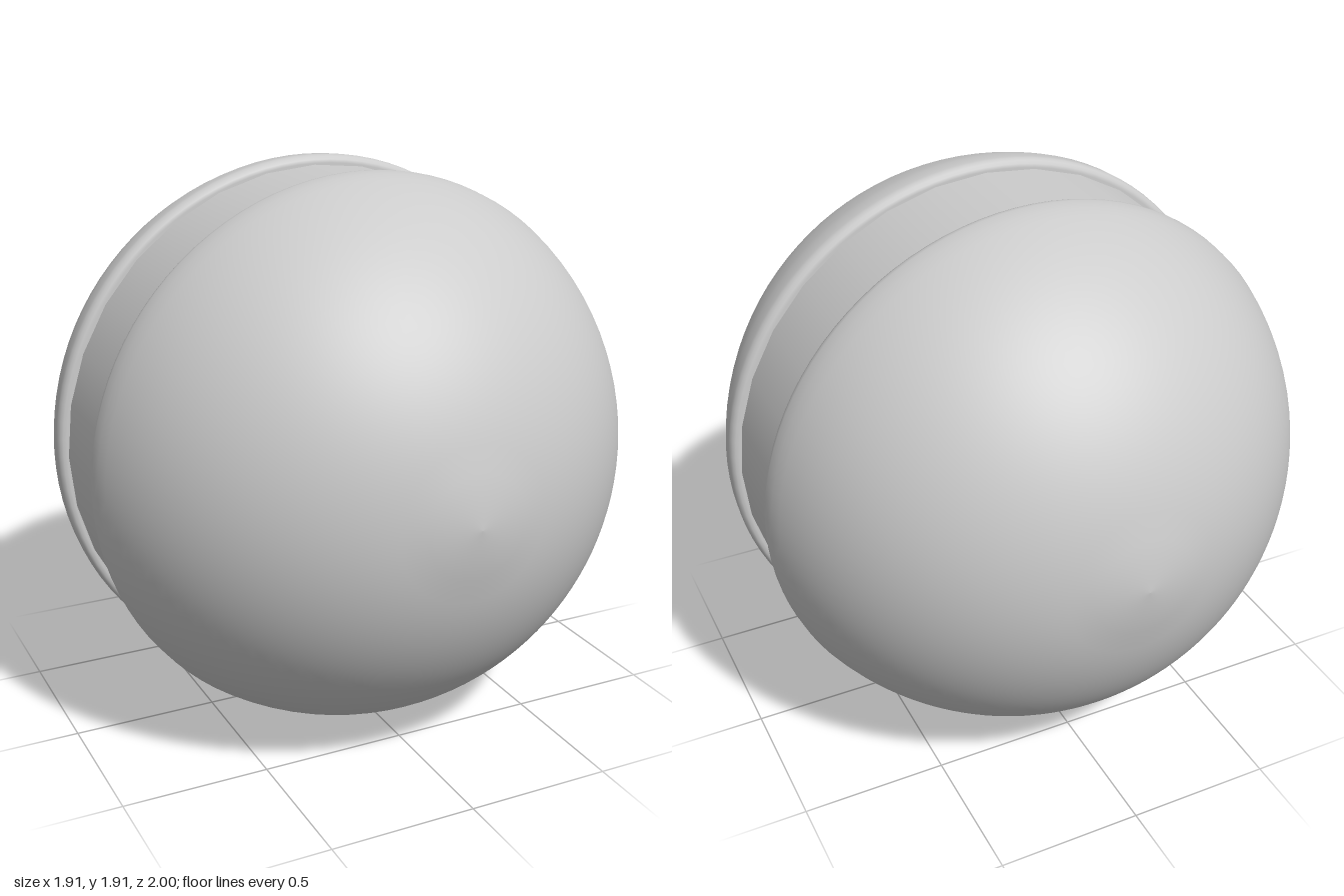
import * as THREE from 'three';

const CENTRE_Y = 0.96;

// Dome outline (radius, height along the axis): flat inner face, rounded rim, shallow-pointed cap
function domeProfile() {
  const pts = [
    [0.88, 0.168], [0.93, 0.168], [0.942, 0.171], [0.951, 0.179], [0.956, 0.192], [0.957, 0.205], [0.955, 0.22],
  ].map(([r, h]) => new THREE.Vector2(r, h));
  const R = 0.985, start = Math.asin(0.25 / R), steps = 30;
  for (let i = 0; i <= steps; i++) {
    const a = start + (Math.PI / 2 - start) * (i / steps);
    const r = i === steps ? 0 : R * Math.cos(a);
    const tip = 0.015 * Math.max(0, 1 - r / 0.22);
    pts.push(new THREE.Vector2(r, R * Math.sin(a) + tip));
  }
  return pts;
}

export function createModel() {
  const group = new THREE.Group();
  const material = new THREE.MeshStandardMaterial({ color: 0xcccccc, side: THREE.DoubleSide });

  // Two matching domes facing front and back
  const dome = new THREE.LatheGeometry(domeProfile(), 96);
  dome.rotateX(Math.PI / 2);
  for (const [name, turn] of [['frontDome', 0], ['backDome', Math.PI]]) {
    const mesh = new THREE.Mesh(dome, material);
    mesh.name = name;
    mesh.rotation.y = turn;
    mesh.position.y = CENTRE_Y;
    group.add(mesh);
  }

  // Recessed band between the domes
  const bandGeometry = new THREE.CylinderGeometry(0.925, 0.925, 0.35, 32, 1, true);
  bandGeometry.rotateX(Math.PI / 2);
  const band = new THREE.Mesh(bandGeometry, material);
  band.name = 'centreBand';
  band.position.y = CENTRE_Y;
  group.add(band);

  return group;
}
